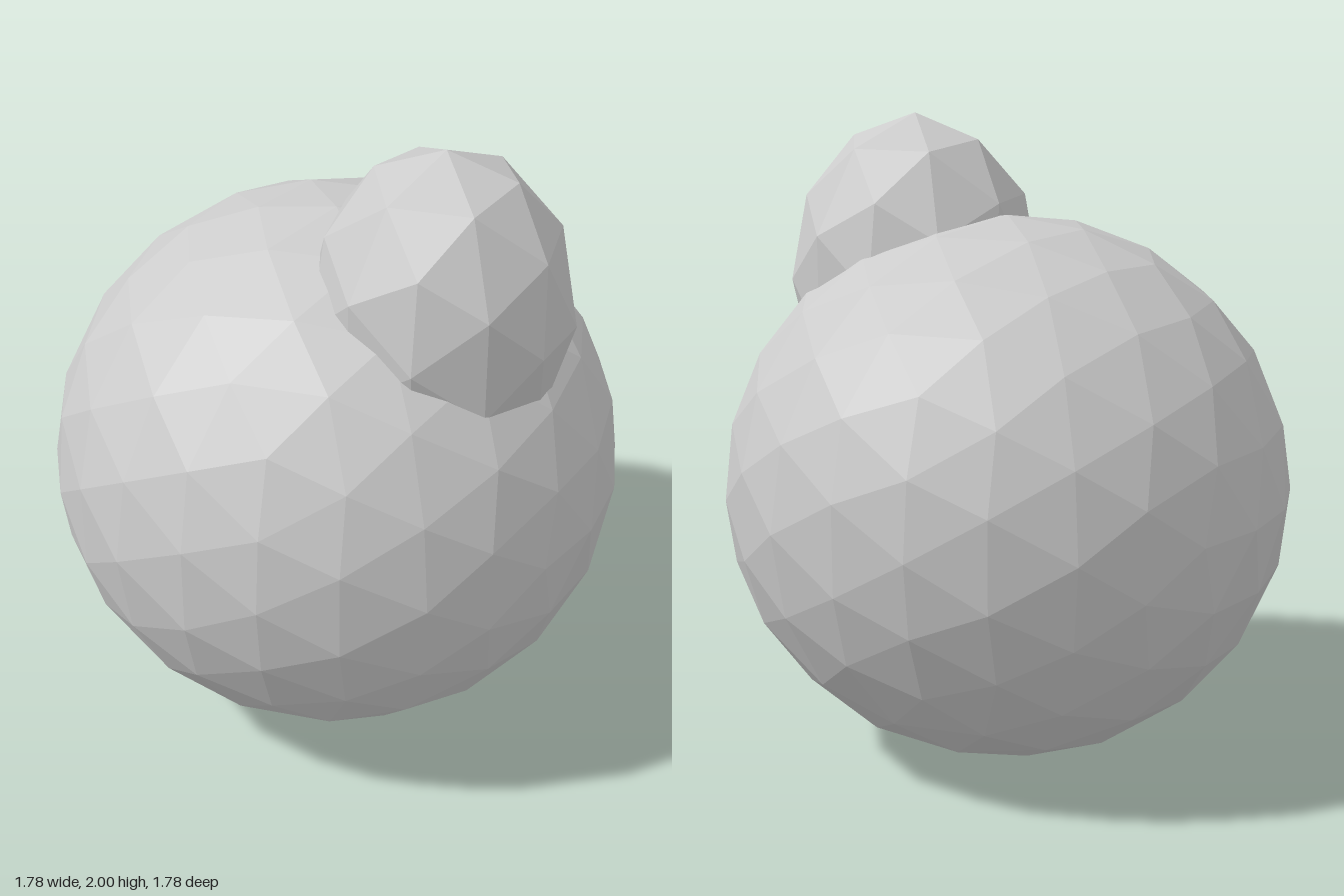
import * as THREE from 'three';

const material = new THREE.MeshStandardMaterial({ color: 0xcccccc, flatShading: true });

// Faceted ball: an icosahedron whose triangles are halved and pushed out, level by level
function facetedBall(levels) {
  let geometry = new THREE.IcosahedronGeometry(1, 0);
  for (let i = 0; i < levels; i++) {
    const points = Array.from(geometry.attributes.position.array);
    const corners = Array.from({ length: points.length / 3 }, (_, k) => k);
    geometry = new THREE.PolyhedronGeometry(points, corners, 1, 1);
  }
  geometry.computeVertexNormals();
  return geometry;
}

function addBall(group, name, levels, position, radii) {
  const mesh = new THREE.Mesh(facetedBall(levels), material);
  mesh.name = name;
  mesh.position.set(...position);
  mesh.scale.set(...radii);
  group.add(mesh);
}

export function createModel() {
  const group = new THREE.Group();
  group.name = 'lumpyBall';

  // Large, slightly flattened body
  addBall(group, 'body', 2, [0, 0.855, 0], [0.89, 0.855, 0.89]);

  // Taller, coarser lump sunk into the upper left of the body
  addBall(group, 'lump', 1, [0.354, 1.485, 0.13], [0.4, 0.515, 0.4]);

  return group;
}
